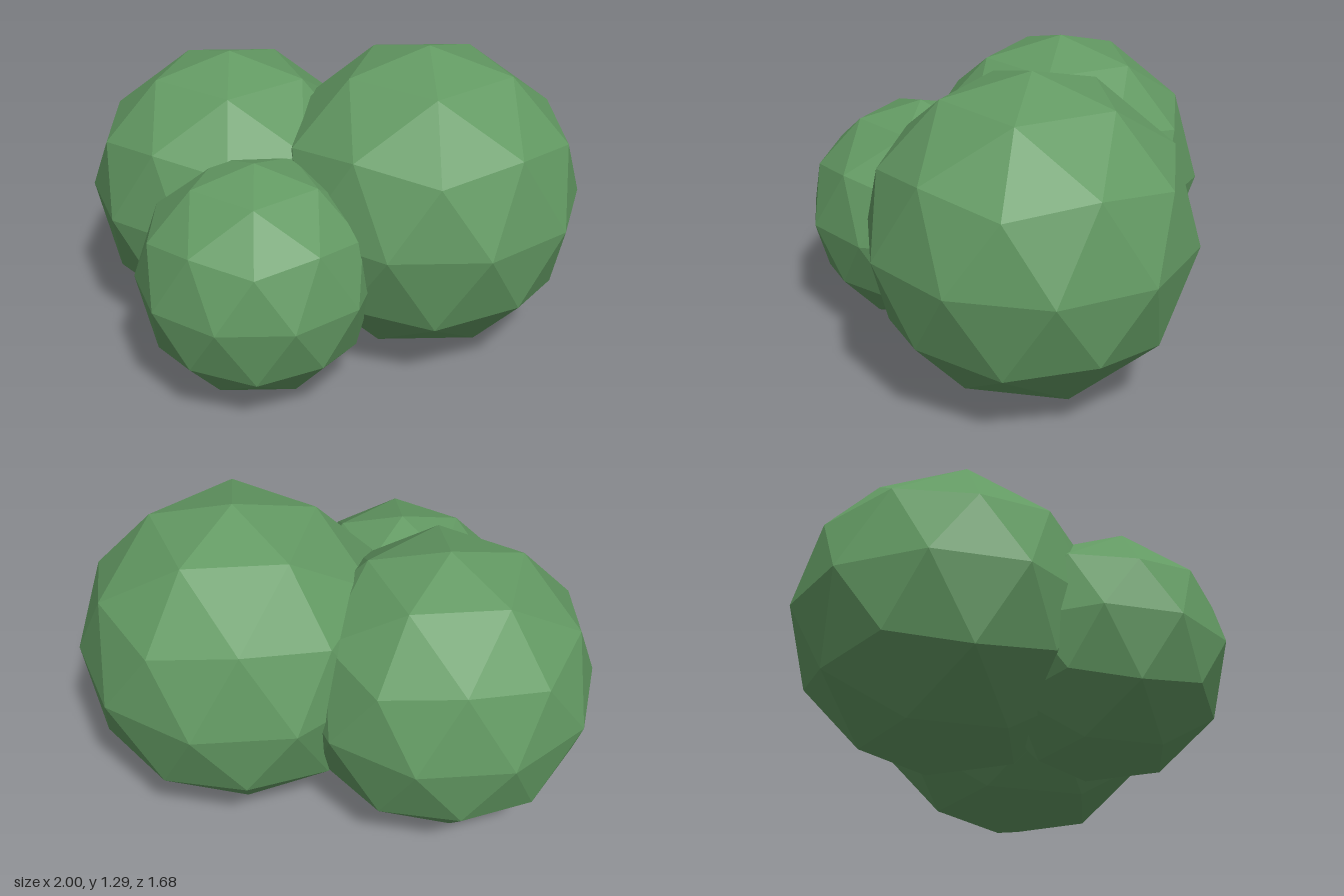
import * as THREE from 'three';

export function createModel() {
  const group = new THREE.Group();
  group.name = 'bush';
  const material = new THREE.MeshStandardMaterial({ color: 0x639a63, flatShading: true });

  // 80-sided ball turned so a five-fold corner points straight up and an upper-ring corner faces +x
  const ball = new THREE.IcosahedronGeometry(1, 1);
  ball.rotateX(-Math.atan((1 + Math.sqrt(5)) / 2));
  ball.rotateY(Math.PI / 2);

  // Overlapping clumps of leaves: name, radius, centre
  const clumps = [
    ['largeLeafClump', 0.638, 0.39, 0.65, -0.2],
    ['mediumLeafClump', 0.593, -0.436, 0.595, -0.177],
    ['smallLeafClump', 0.479, -0.152, 0.481, 0.36],
  ];
  for (const [name, radius, x, y, z] of clumps) {
    const clump = new THREE.Mesh(ball, material);
    clump.name = name;
    clump.scale.setScalar(radius);
    clump.position.set(x, y, z);
    group.add(clump);
  }
  return group;
}
